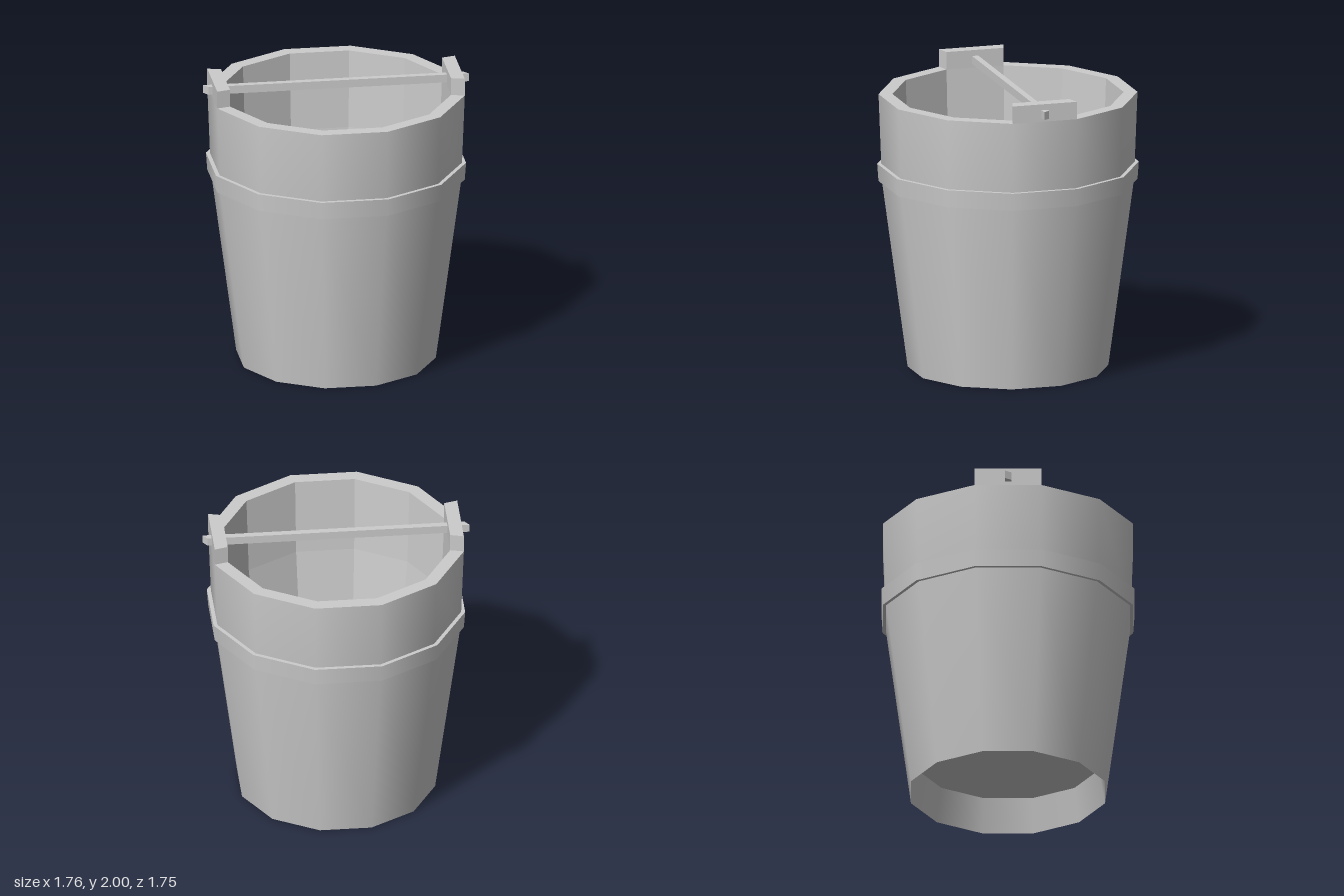
import * as THREE from 'three';

const SIDES = 12;
const TURN = THREE.MathUtils.degToRad(-2.4); // slight twist of the twelve-sided body

const smooth = new THREE.MeshStandardMaterial({ color: 0xcccccc });
const flat = new THREE.MeshStandardMaterial({ color: 0xcccccc, flatShading: true });

// Revolve a [radius, y] profile; upward profiles face out, downward ones face in
function ring(name, profile, material) {
  const points = profile.map(([r, y]) => new THREE.Vector2(r, y));
  const mesh = new THREE.Mesh(new THREE.LatheGeometry(points, SIDES, TURN), material);
  mesh.name = name;
  return mesh;
}

// Extrude an outline of [x, z] points upward from y
function slab(name, outline, y, height) {
  const shape = new THREE.Shape(outline.map(([x, z]) => new THREE.Vector2(x, -z)));
  const geometry = new THREE.ExtrudeGeometry(shape, { depth: height, bevelEnabled: false });
  geometry.rotateX(-Math.PI / 2);
  geometry.translate(0, y, 0);
  const mesh = new THREE.Mesh(geometry, flat);
  mesh.name = name;
  return mesh;
}

// Corner of the body, counted around from the front
function corner(i, r) {
  const a = TURN + (i * 2 * Math.PI) / SIDES;
  return [r * Math.sin(a), r * Math.cos(a)];
}

export function createModel() {
  const group = new THREE.Group();
  group.name = 'bucket';

  // Body: tapered outer wall, rim, inner wall and recessed floor
  group.add(
    ring('outerWall', [[0.673, 0], [0.845, 1.28], [0.868, 1.88]], smooth),
    ring('rim', [[0.868, 1.88], [0.775, 1.88]], flat),
    ring('innerWall', [[0.775, 1.88], [0.755, 1.34], [0.64, 0.28]], flat),
    ring('floor', [[0.64, 0.28], [0, 0.28]], flat),
    ring('floorUnderside', [[0, 0.24], [0.63, 0.24]], flat),
    ring('footSkirt', [[0.63, 0.24], [0.673, 0]], smooth)
  );

  // Hoop around the body
  group.add(
    ring('hoop', [[0.868, 1.28], [0.877, 1.4]], smooth),
    ring('hoopTop', [[0.877, 1.4], [0.845, 1.4]], flat),
    ring('hoopBottom', [[0.84, 1.28], [0.868, 1.28]], flat)
  );

  // Two lugs, each standing on one side of the rim
  for (const [name, i] of [['leftLug', 3], ['rightLug', 9]]) {
    const outline = [corner(i, 0.868), corner(i + 1, 0.868), corner(i + 1, 0.775), corner(i, 0.775)];
    group.add(slab(name, outline, 1.88, 0.12));
  }

  // Handle bar through both lugs, with slanted ends
  const w = 0.022;
  const bar = slab('handleBar', [[0.897, w], [0.866, -w], [-0.897, -w], [-0.866, w]], 1.905, 0.055);
  bar.rotation.y = Math.PI / SIDES + TURN;
  group.add(bar);

  return group;
}
